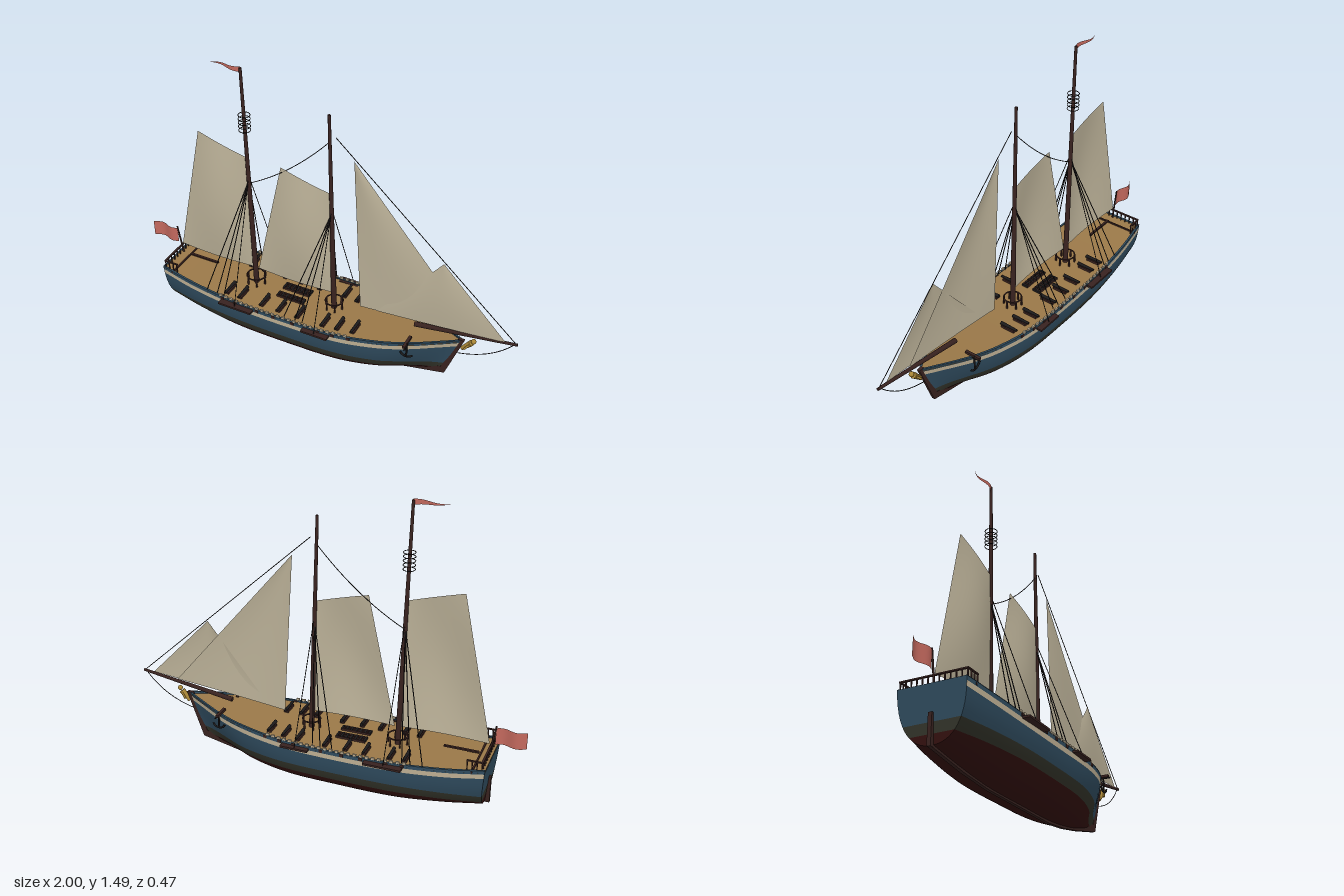
import * as THREE from 'three';

const V = (x, y, z) => new THREE.Vector3(x, y, z);
const lerp = THREE.MathUtils.lerp;

function makeMaterials() {
  const colors = {
    hullBlue: 0x2f4b5e, cream: 0xbfb094, olive: 0x33342a, bottomRed: 0x34110f, deckTan: 0x9a7848,
    darkWood: 0x38221f, sailCloth: 0xbab097, flagRed: 0xc2685d, gold: 0xa98636, ironBlack: 0x1c1a1b,
  };
  const mats = {};
  for (const [name, color] of Object.entries(colors)) {
    mats[name] = new THREE.MeshStandardMaterial({ color });
    mats[name].name = name;
  }
  for (const n of ['hullBlue', 'sailCloth', 'flagRed']) mats[n].side = THREE.DoubleSide;
  return mats;
}

// Grid surface from a rule f(a, b) -> Vector3, a and b in 0..1
function surface(f, nu, nv) {
  const pos = [], idx = [];
  for (let j = 0; j <= nv; j++) for (let i = 0; i <= nu; i++) pos.push(...f(i / nu, j / nv).toArray());
  for (let j = 0; j < nv; j++) for (let i = 0; i < nu; i++) {
    const a = j * (nu + 1) + i, b = a + 1, c = a + nu + 1, d = c + 1;
    idx.push(a, b, d, a, d, c);
  }
  const g = new THREE.BufferGeometry();
  g.setAttribute('position', new THREE.Float32BufferAttribute(pos, 3));
  g.setIndex(idx);
  g.computeVertexNormals();
  return g;
}

// Hull stations: x at rail, rail y, keel y, half width, fullness, x at keel
const stations = [
  [-0.85, 0.307, 0.055, 0.16, 2.3, -0.83], [-0.65, 0.288, 0.03, 0.187, 2.4, -0.64],
  [-0.4, 0.275, 0.01, 0.204, 2.5, -0.4], [-0.1, 0.273, 0.01, 0.207, 2.5, -0.1],
  [0.15, 0.279, 0.012, 0.2, 2.4, 0.14], [0.35, 0.291, 0.03, 0.167, 2.2, 0.33],
  [0.5, 0.302, 0.055, 0.118, 1.8, 0.46], [0.65, 0.318, 0.085, 0.048, 1.4, 0.59], [0.73, 0.326, 0.095, 0.006, 1.2, 0.655],
];
const curveA = new THREE.CatmullRomCurve3(stations.map(s => V(s[0], s[1], s[2])), false, 'catmullrom');
const curveB = new THREE.CatmullRomCurve3(stations.map(s => V(s[3], s[4], s[5])), false, 'catmullrom');

function station(u) {
  const a = curveA.getPoint(u), b = curveB.getPoint(u);
  return { x: a.x, top: a.y, keel: a.z, hw: b.x, p: b.y, xb: b.z };
}
function stationAtX(x) {
  let lo = 0, hi = 1;
  for (let i = 0; i < 24; i++) { const m = (lo + hi) / 2; if (curveA.getPoint(m).x < x) lo = m; else hi = m; }
  return station(lo);
}
function hullPoint(s, y, side) {
  const t = THREE.MathUtils.clamp((y - s.keel) / (s.top - s.keel), 0, 1);
  return V(lerp(s.xb, s.x, t), lerp(s.keel, s.top, t), side * s.hw * Math.pow(1 - Math.pow(1 - t, s.p), 1 / s.p));
}

export function createModel() {
  const M = makeMaterials();
  const root = new THREE.Group();
  root.name = 'sailingShip';
  const add = (name, geo, mat, x = 0, y = 0, z = 0) => {
    const m = new THREE.Mesh(geo, mat);
    m.name = name;
    m.position.set(x, y, z);
    root.add(m);
    return m;
  };
  const box = (name, mat, w, h, d, x, y, z) => add(name, new THREE.BoxGeometry(w, h, d), mat, x, y, z);
  const spar = (name, mat, a, b, r0, r1, sides = 10) => {
    const m = add(name, new THREE.CylinderGeometry(r1, r0, a.distanceTo(b), sides), mat);
    m.position.copy(a).add(b).multiplyScalar(0.5);
    m.quaternion.setFromUnitVectors(V(0, 1, 0), b.clone().sub(a).normalize());
    return m;
  };
  const rope = (name, a, b, r = 0.002) => spar(name, M.ironBlack, a, b, r, r, 5);
  const bentRope = (name, a, mid, b, r = 0.002) =>
    add(name, new THREE.TubeGeometry(new THREE.QuadraticBezierCurve3(a, mid, b), 16, r, 5), M.ironBlack);
  const deckY = x => stationAtX(x).top - 0.012;

  // Painted hull bands, on both sides and across the transom
  const bands = [
    ['bottom', M.bottomRed, s => s.keel, () => 0.1, 10], ['waterlineBand', M.olive, () => 0.1, () => 0.148, 3],
    ['topside', M.hullBlue, () => 0.148, s => s.top - 0.043, 4], ['creamStripe', M.cream, s => s.top - 0.043, s => s.top - 0.019, 1],
    ['sheerStrake', M.hullBlue, s => s.top - 0.019, s => s.top, 1],
  ];
  for (const [name, mat, y0, y1, rows] of bands) {
    for (const side of [1, -1]) {
      add(name, surface((a, b) => {
        const s = station(side > 0 ? a : 1 - a);
        return hullPoint(s, lerp(y0(s), y1(s), rows > 4 ? b * b : b), side);
      }, 56, rows), mat);
    }
    const s = station(0);
    add(name + 'Transom', surface((a, b) => {
      const p = hullPoint(s, lerp(y0(s), y1(s), rows > 4 ? b * b : b), 1);
      return V(p.x, p.y, p.z * (a * 2 - 1));
    }, 8, rows), name === 'creamStripe' ? M.hullBlue : mat);
  }

  // Deck and rail cap
  add('deck', surface((a, b) => {
    const s = station(a);
    return V(s.x, s.top - 0.012, s.hw * (1 - 2 * b));
  }, 56, 4), M.deckTan);
  for (const side of [1, -1]) {
    add('railCap', surface((a, b) => {
      const s = station(a);
      return V(s.x, s.top + 0.001, side * Math.max(0, s.hw + 0.002 - 0.011 * b));
    }, 56, 1), M.hullBlue);
  }

  // Keel and stem as one plank
  const keel = new THREE.Shape([
    [-0.84, 0.045], [-0.6, 0.014], [-0.4, 0], [0.15, 0], [0.3, 0.014], [0.45, 0.04], [0.66, 0.086], [0.745, 0.328],
    [0.715, 0.328], [0.64, 0.12], [0.3, 0.05], [-0.4, 0.03], [-0.82, 0.09],
  ].map(p => new THREE.Vector2(...p)));
  add('keelAndStem', new THREE.ExtrudeGeometry(keel, { depth: 0.016, bevelEnabled: false }), M.darkWood, 0, 0, -0.008);
  box('rudder', M.darkWood, 0.02, 0.14, 0.018, -0.841, 0.115, 0);
  box('tiller', M.darkWood, 0.17, 0.008, 0.012, -0.7, 0.302, 0);
  box('aftDeckBeam', M.darkWood, 0.008, 0.01, 0.34, -0.79, deckY(-0.79) + 0.002, 0);

  // Stern rail with posts
  box('sternRail', M.darkWood, 0.01, 0.006, 0.32, -0.835, 0.345, 0);
  for (let i = 0; i <= 12; i++) box('sternRailPost', M.darkWood, 0.005, 0.045, 0.005, -0.835, 0.322, -0.156 + i * 0.026);
  for (const side of [1, -1]) {
    box('sternSideRail', M.darkWood, 0.075, 0.006, 0.008, -0.8, 0.345, side * 0.157);
    for (let i = 1; i <= 3; i++) box('sternSidePost', M.darkWood, 0.005, 0.05, 0.005, -0.835 + i * 0.023, 0.32, side * 0.158);
  }

  // Waist rail blocks, guns, channels and anchors on each side
  const gunX = [-0.47, -0.395, -0.27, -0.175, -0.07, 0.07, 0.145, 0.225];
  for (const side of [1, -1]) {
    for (let x = -0.48; x < 0.23; x += 0.03) {
      const s = stationAtX(x);
      box('railBlock', M.cream, 0.017, 0.012, 0.008, x, s.top + 0.006, side * (s.hw - 0.003));
    }
    for (const x of gunX) {
      const s = stationAtX(x), y = deckY(x), z = x > 0.1 ? s.hw - 0.085 : 0.122;
      box('gunCarriage', M.darkWood, 0.022, 0.012, 0.075, x, y + 0.006, side * z);
      spar('gunBarrel', M.ironBlack, V(x, y + 0.018, side * (z - 0.045)), V(x, y + 0.018, side * (z + 0.05)), 0.009, 0.006, 8);
      box('gunPort', M.darkWood, 0.018, 0.016, 0.006, x, s.top - 0.008, side * s.hw);
    }
    box('aftChannel', M.darkWood, 0.185, 0.01, 0.042, -0.382, 0.26, side * 0.216);
    box('foreChannel', M.darkWood, 0.14, 0.01, 0.042, 0.06, 0.26, side * 0.212);

    box('cathead', M.darkWood, 0.014, 0.012, 0.085, 0.5, 0.308, side * 0.115);
    spar('anchorShank', M.ironBlack, V(0.505, 0.235, side * 0.128), V(0.505, 0.315, side * 0.128), 0.005, 0.004, 6);
    spar('anchorStock', M.ironBlack, V(0.505, 0.3, side * 0.105), V(0.505, 0.3, side * 0.165), 0.004, 0.004, 6);
    add('anchorArms', new THREE.TorusGeometry(0.034, 0.005, 6, 14, Math.PI * 0.8), M.ironBlack, 0.505, 0.264, side * 0.128)
      .rotation.z = Math.PI * 1.1;
  }

  // Hatch gratings amidships
  for (const z of [-0.033, 0.038]) {
    const d = z < 0 ? 0.046 : 0.034, y = deckY(-0.165);
    for (let i = 0; i < 7; i++) box('hatchBar', M.ironBlack, 0.01, 0.012, d, -0.235 + i * 0.0235, y + 0.006, z);
    for (let i = -1; i <= 1; i++) box('hatchCrossBar', M.darkWood, 0.15, 0.01, 0.007, -0.165, y + 0.006, z + i * d * 0.43);
  }

  // Masts with pin rails and shrouds
  const masts = [
    { name: 'aftMast', base: V(-0.387, 0.25, 0), top: V(-0.42, 1.48, 0), shroudY: 0.88, ring: 0.048 },
    { name: 'foreMast', base: V(0.058, 0.25, 0), top: V(0.026, 1.357, 0), shroudY: 0.83, ring: 0.044 },
  ];
  for (const { name, base, top, shroudY, ring } of masts) {
    spar(name, M.darkWood, base, top, 0.014, 0.007, 12);
    const y = deckY(base.x);
    add('pinRail', new THREE.TorusGeometry(ring, 0.004, 6, 24), M.darkWood, base.x, y + 0.045, 0).rotation.x = Math.PI / 2;
    for (let i = 0; i < 6; i++) {
      const a = i * Math.PI / 3;
      box('pinRailPost', M.darkWood, 0.007, 0.046, 0.007, base.x + ring * Math.cos(a), y + 0.023, ring * Math.sin(a));
    }
    const head = base.clone().lerp(top, (shroudY - base.y) / (top.y - base.y));
    for (const side of [1, -1]) {
      for (const dx of [-0.18, -0.12, -0.08]) rope('shroud', head, V(base.x + dx, 0.28, side * 0.19), 0.0025);
      rope('sideStay', head.clone().setY(shroudY + 0.03), V(base.x, 0.26, side * 0.225));
    }
  }
  for (const y of [1.16, 1.18, 1.2, 1.22, 1.24])
    add('mastHoop', new THREE.TorusGeometry(0.028, 0.002, 5, 20), M.ironBlack, -0.412, y, 0).rotation.x = Math.PI / 2;

  // Bowsprit, figurehead and long stays
  spar('bowsprit', M.darkWood, V(0.49, 0.328, 0), V(0.995, 0.404, 0), 0.013, 0.007, 10);
  rope('foreStay', V(0.06, 1.25, 0), V(0.99, 0.404, 0));
  bentRope('mastStay', V(0.03, 1.22, 0), V(-0.17, 0.99, 0), V(-0.395, 0.87, 0));
  bentRope('bobstay', V(0.98, 0.4, 0), V(0.88, 0.27, 0), V(0.71, 0.235, 0));
  spar('figureheadBody', M.gold, V(0.735, 0.275, 0), V(0.778, 0.325, 0), 0.01, 0.016, 8);
  add('figureheadHead', new THREE.SphereGeometry(0.013, 10, 8), M.gold, 0.788, 0.338, 0);
  for (const side of [1, -1]) spar('figureheadArm', M.gold, V(0.772, 0.318, side * 0.012), V(0.75, 0.292, side * 0.022), 0.006, 0.005, 6);

  // Sails: corners are foot aft, foot fore, head fore, head aft, with a soft belly
  const sail = (name, [p, q, r, s], belly, z = 0) => add(name, surface((a, b) => {
    const x = lerp(lerp(p[0], q[0], a), lerp(s[0], r[0], a), b);
    const y = lerp(lerp(p[1], q[1], a), lerp(s[1], r[1], a), b);
    return V(x, y, z + belly * Math.sin(Math.PI * a) * Math.sin(Math.PI * (0.1 + 0.85 * b)));
  }, 14, 14), M.sailCloth);
  sail('aftSail', [[-0.83, 0.357], [-0.385, 0.357], [-0.404, 1.008], [-0.676, 1.083]], 0.036);
  sail('foreSail', [[-0.37, 0.355], [0.052, 0.355], [0.036, 0.94], [-0.227, 1.008]], 0.034);
  sail('innerJib', [[0.2, 0.325], [0.8, 0.386], [0.152, 1.152], [0.152, 1.152]], 0.012);
  sail('outerJib', [[0.29, 0.334], [0.94, 0.4], [0.612, 0.74], [0.612, 0.74]], 0.012, 0.004);

  // Stern flag with staff, and masthead pennant
  spar('flagStaff', M.darkWood, V(-0.83, 0.3, 0), V(-0.856, 0.455, 0), 0.005, 0.004, 8);
  add('sternFlag', surface((a, b) => V(-1 + 0.145 * a, 0.36 + 0.085 * b, 0.01 * Math.sin((1 - a) * 7)), 16, 4), M.flagRed);
  add('pennant', surface((a, b) => V(-0.585 + 0.165 * a, 1.472 + 0.003 * (1 - a) + (b - 0.5) * 0.028 * a, 0.008 * Math.sin((1 - a) * 7)),
    16, 2), M.flagRed);
  return root;
}
